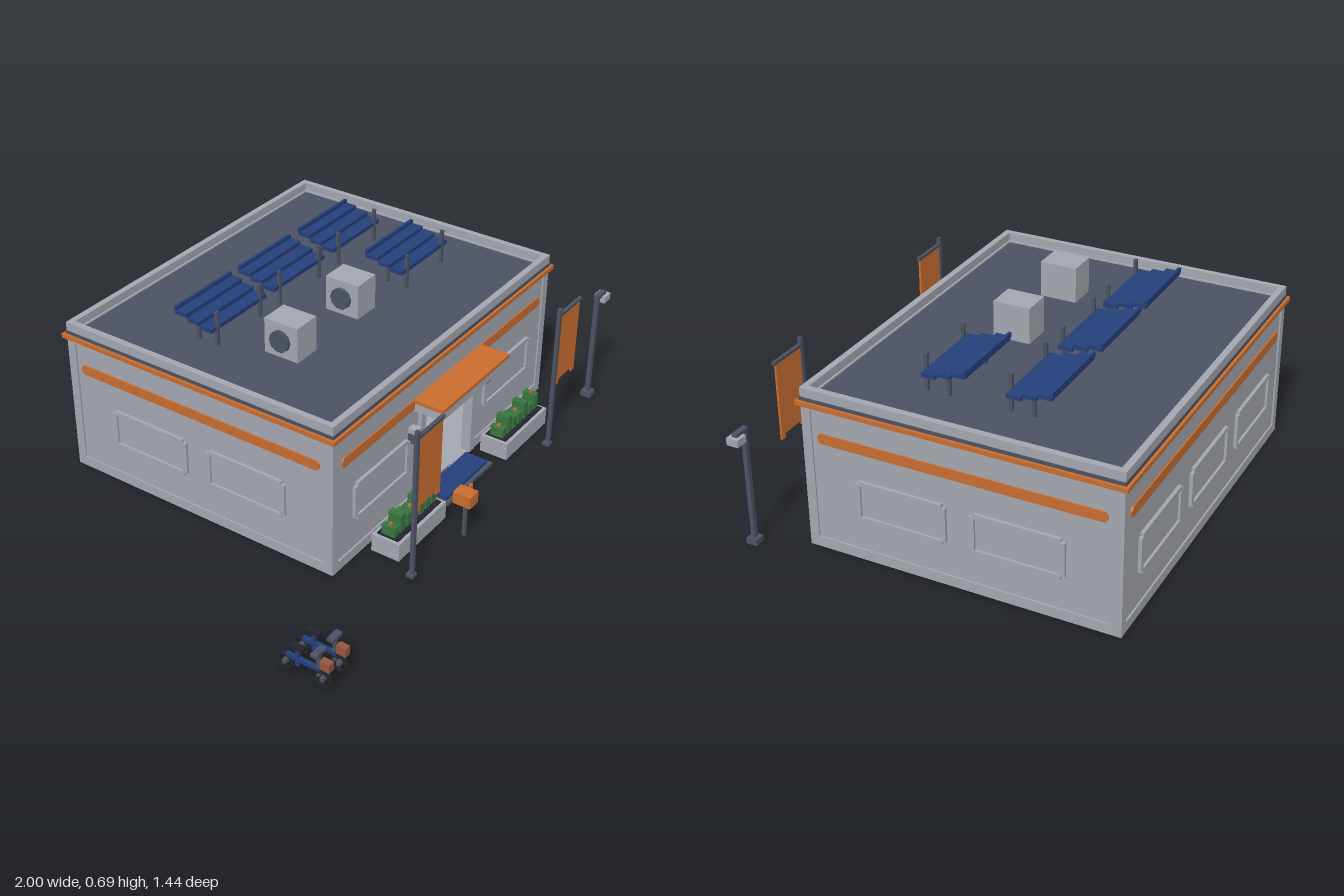
import * as THREE from 'three';

const mat = (name, color) => {
  const m = new THREE.MeshStandardMaterial({ color });
  m.name = name;
  return m;
};

export function createModel() {
  const wall = mat('pale grey', 0xa4a7b0), orange = mat('orange', 0xc96d30), slate = mat('slate', 0x4b5262);
  const dark = mat('near black', 0x23242d), blue = mat('navy blue', 0x253f7a), green = mat('green', 0x38743f);
  const brown = mat('rust brown', 0x96573f);
  const root = new THREE.Group();
  const CX = 0.162, CZ = -0.15, HX = 0.697, HZ = 0.56;

  const group = (name, parent = root, x = 0, y = 0, z = 0) => {
    const g = new THREE.Group();
    g.name = name;
    g.position.set(x, y, z);
    parent.add(g);
    return g;
  };
  const mesh = (name, m, geo, parent, x = 0, y = 0, z = 0) => {
    const o = new THREE.Mesh(geo, m);
    o.name = name;
    o.position.set(x, y, z);
    parent.add(o);
    return o;
  };
  // Box given by its limits on each axis
  const box = (name, m, x0, x1, y0, y1, z0, z1, parent = root) =>
    mesh(name, m, new THREE.BoxGeometry(x1 - x0, y1 - y0, z1 - z0), parent, (x0 + x1) / 2, (y0 + y1) / 2, (z0 + z1) / 2);
  // Rectangular ring lying flat, from outer half sizes and a width
  const ring = (name, m, hx, hz, w, y0, y1) => {
    const g = group(name, root, CX, 0, CZ);
    for (const s of [-1, 1]) {
      const a = s * hx, b = s * (hx - w), c = s * hz, d = s * (hz - w);
      box(name + 'Side', m, Math.min(a, b), Math.max(a, b), y0, y1, -hz, hz, g);
      box(name + 'End', m, w - hx, hx - w, y0, y1, Math.min(c, d), Math.max(c, d), g);
    }
  };

  // Wall stripe with clipped corners
  const stripe = (half, parent) => {
    const s = new THREE.Shape(), c = 0.01, y0 = 0.4, y1 = 0.437;
    [[-half, y0 + c], [c - half, y0], [half - c, y0], [half, y0 + c], [half, y1 - c], [half - c, y1], [c - half, y1], [-half, y1 - c]]
      .forEach(([x, y], i) => (i ? s.lineTo(x, y) : s.moveTo(x, y)));
    mesh('stripe', orange, new THREE.ExtrudeGeometry(s, { depth: 0.006, bevelEnabled: false }), parent, 0, 0, -0.007);
  };
  // One facade: x along the wall, z = 0 at the outermost face
  const facade = (name, half, dist, turn, windows, door) => {
    const g = group(name, root, CX + Math.sin(turn) * dist, 0, CZ + Math.cos(turn) * dist);
    g.rotation.y = turn;
    const e = half - 0.008;
    if (door) {
      box('wallLeftOfDoor', wall, -e, -0.155, 0.01, 0.56, -0.03, -0.006, g);
      box('wallRightOfDoor', wall, 0.165, e, 0.01, 0.56, -0.03, -0.006, g);
      box('wallOverDoor', wall, -0.155, 0.165, 0.365, 0.56, -0.03, -0.006, g);
      box('plinthA', wall, -half, -0.185, 0.01, 0.04, -0.02, 0, g);
      box('plinthB', wall, 0.195, half, 0.01, 0.04, -0.02, 0, g);
    } else {
      box('wallPanel', wall, -e, e, 0.01, 0.56, -0.03, -0.006, g);
      box('plinth', wall, -half, half, 0.01, 0.04, -0.02, 0, g);
    }
    box('topBand', wall, -half, half, 0.515, 0.53, -0.02, 0, g);
    for (const s of [-1, 1]) box('pilaster', wall, s * (half - 0.017) - 0.017, s * (half - 0.017) + 0.017, 0.01, 0.53, -0.02, 0, g);
    stripe(half - 0.055, g);
    for (const x of windows) {
      const w = group('window', g, x, 0.228, -0.006);
      for (const s of [-1, 1]) {
        box('frameRail', wall, -0.15, 0.15, s * 0.066 - 0.008, s * 0.066 + 0.008, -0.004, 0.012, w);
        box('frameStile', wall, s * 0.155 - 0.009, s * 0.155 + 0.009, -0.062, 0.062, -0.004, 0.012, w);
      }
      box('pane', wall, -0.147, 0.147, -0.058, 0.058, -0.002, 0.003, w);
    }
  };
  facade('frontWall', HX, HZ, 0, [-0.412, 0.415], true);
  facade('rightWall', HZ, HX, Math.PI / 2, [-0.206, 0.206], false);
  facade('backWall', HX, HZ, Math.PI, [-0.41, 0, 0.41], false);
  facade('leftWall', HZ, HX, -Math.PI / 2, [-0.206, 0.206], false);

  // Floor, roof deck and edge trim
  box('floor', wall, CX - HX, CX + HX, 0.002, 0.012, CZ - HZ, CZ + HZ);
  box('roofDeck', slate, CX - 0.685, CX + 0.685, 0.535, 0.555, CZ - 0.548, CZ + 0.548);
  ring('orangeTrim', orange, HX + 0.013, HZ + 0.013, 0.03, 0.53, 0.546);
  ring('darkTrim', slate, HX + 0.003, HZ + 0.003, 0.02, 0.546, 0.558);
  ring('parapet', wall, HX, HZ, 0.023, 0.552, 0.59);

  // Doorway, canopy and step
  for (const x of [-0.022, 0.325]) box('doorPost', wall, x, x + 0.03, 0.01, 0.385, 0.38, 0.418);
  box('doorLintel', wall, -0.022, 0.355, 0.36, 0.385, 0.38, 0.418);
  box('canopyBody', wall, -0.055, 0.38, 0.392, 0.424, 0.4, 0.518);
  box('canopyTop', orange, -0.058, 0.383, 0.424, 0.438, 0.4, 0.522);
  box('step', slate, 0.01, 0.315, 0, 0.012, 0.4, 0.52);
  box('doorMat', blue, 0.025, 0.3, 0.012, 0.024, 0.415, 0.505);
  for (const x of [-0.072, 0.402]) {
    box('wallLamp', slate, x - 0.013, x + 0.013, 0.28, 0.32, 0.405, 0.438);
    box('wallLampCap', wall, x - 0.015, x + 0.015, 0.32, 0.34, 0.405, 0.44);
  }

  // Interior seen through the doorway
  const room = group('interior');
  box('counter', wall, -0.03, 0.42, 0, 0.155, -0.66, -0.54, room);
  box('screen', dark, 0.05, 0.118, 0.208, 0.232, -0.62, -0.6, room);
  box('screenStand', dark, 0.078, 0.09, 0.155, 0.21, -0.615, -0.605, room);
  box('counterPlant', green, 0.23, 0.255, 0.175, 0.205, -0.6, -0.575, room);
  box('plantPot', brown, 0.225, 0.295, 0.155, 0.178, -0.605, -0.57, room);
  mesh('garland', orange, new THREE.TorusGeometry(0.095, 0.013, 4, 10, Math.PI), room, 0.165, 0.36, -0.672).rotation.z = Math.PI;
  mesh('emblemRing', orange, new THREE.TorusGeometry(0.024, 0.008, 4, 8), room, 0.168, 0.105, -0.538);
  for (let i = 0; i < 4; i++) {
    const a = i * Math.PI / 2, x = 0.168 + 0.036 * Math.cos(a), y = 0.105 + 0.036 * Math.sin(a);
    box('emblemTip', orange, x - 0.007, x + 0.007, y - 0.007, y + 0.007, -0.545, -0.535, room);
  }
  box('rugA', blue, 0.52, 0.78, 0, 0.016, -0.2, 0.02, room);
  box('rugB', blue, 0.05, 0.38, 0, 0.016, -0.33, -0.14, room);
  for (const [x, z] of [[-0.23, -0.35], [-0.36, -0.52], [-0.2, 0], [-0.4, -0.1]])
    box('stool', wall, x - 0.04, x + 0.04, 0, 0.08, z - 0.04, z + 0.04, room);
  for (const [x, z] of [[-0.4, -0.65], [0.81, 0.24]]) box('crate', orange, x - 0.03, x + 0.03, 0, 0.06, z - 0.03, z + 0.03, room);

  // Slatted blue panels on the roof
  for (const [x, z] of [[-0.192, -0.3], [0.158, -0.3], [0.518, -0.3], [0.518, 0]]) {
    const p = group('roofPanel', root, x, 0, z);
    for (let i = 0; i < 3; i++)
      box('slat', blue, -0.152, 0.152, 0.617 + i * 0.013, 0.632 + i * 0.013, 0.027 - i * 0.053, 0.078 - i * 0.053, p);
    box('backLip', blue, -0.152, 0.152, 0.655, 0.672, -0.083, -0.072, p);
    for (const s of [-1, 1]) {
      box('tallPost', slate, s * 0.118 - 0.006, s * 0.118 + 0.006, 0.55, 0.686, 0.07, 0.082, p);
      box('shortPost', slate, s * 0.118 - 0.006, s * 0.118 + 0.006, 0.55, 0.632, -0.01, 0.002, p);
    }
  }
  // Roof cooling units with side fans
  for (const x of [-0.195, 0.16]) {
    const u = group('coolingUnit', root, x, 0, -0.003);
    box('unitBody', wall, -0.054, 0.054, 0.55, 0.686, -0.068, 0.068, u);
    mesh('fan', slate, new THREE.CylinderGeometry(0.04, 0.04, 0.016, 10), u, -0.06, 0.62, 0).rotation.z = Math.PI / 2;
  }

  // Planters with clipped shrubs and small blooms
  for (const x of [-0.197, 0.518]) {
    const p = group('planter', root, x, 0, 0.49);
    box('trough', wall, -0.148, 0.148, 0, 0.068, -0.055, 0.055, p);
    box('soil', dark, -0.135, 0.135, 0.066, 0.073, -0.042, 0.042, p);
    [0.11, 0.14, 0.122, 0.115, 0.14, 0.11, 0.135].forEach((h, i) => {
      const sx = -0.117 + i * 0.039;
      box('shrub', green, sx - 0.013, sx + 0.013, 0.07, h, -0.027, 0.025, p);
      if (i % 3 === 0) box('bloom', orange, sx - 0.005, sx + 0.005, h, h + 0.011, -0.004, 0.006, p);
    });
  }

  // Banner poles
  for (const x of [-0.38, 0.548]) {
    const b = group('banner', root, x, 0, 0.62);
    box('pole', slate, -0.007, 0.007, 0, 0.575, -0.007, 0.007, b);
    box('poleBase', slate, -0.016, 0.012, 0, 0.012, -0.016, 0.012, b);
    box('arm', slate, 0, 0.157, 0.542, 0.554, -0.006, 0.006, b);
    box('cloth', orange, 0.01, 0.148, 0.282, 0.542, -0.004, 0.004, b);
    for (const [x0, x1] of [[0.01, 0.03], [0.128, 0.148]]) box('clothTail', orange, x0, x1, 0.255, 0.282, -0.004, 0.004, b);
    box('clothHem', orange, 0.03, 0.128, 0.272, 0.282, -0.004, 0.004, b);
  }

  // Street lamp
  const lamp = group('streetLamp', root, 0.935, 0, 0.582);
  box('lampBase', slate, -0.02, 0.02, 0, 0.022, -0.02, 0.02, lamp);
  box('lampPole', slate, -0.008, 0.008, 0.02, 0.435, -0.008, 0.008, lamp);
  box('lampArm', slate, -0.01, 0.05, 0.425, 0.44, -0.01, 0.01, lamp);
  box('lampHead', wall, 0.02, 0.065, 0.402, 0.428, -0.022, 0.022, lamp);

  // Letter box on a post
  box('letterPost', slate, -0.1, -0.088, 0, 0.14, 0.64, 0.652);
  box('letterBox', orange, -0.125, -0.072, 0.14, 0.185, 0.612, 0.68);
  box('letterFlag', orange, -0.072, -0.058, 0.165, 0.195, 0.64, 0.65);

  // Parked bicycles
  for (const x of [-0.975, -0.89]) {
    const b = group('bicycle', root, x, 0, 0);
    for (const z of [0.545, 0.685]) {
      mesh('wheel', dark, new THREE.TorusGeometry(0.028, 0.009, 4, 8), b, 0, 0.037, z).rotation.y = Math.PI / 2;
      box('hub', slate, -0.01, 0.01, 0.03, 0.044, z - 0.007, z + 0.007, b);
    }
    box('frame', blue, -0.007, 0.007, 0.06, 0.074, 0.55, 0.675, b);
    box('seatPost', blue, -0.006, 0.006, 0.04, 0.108, 0.585, 0.597, b);
    box('saddle', dark, -0.011, 0.011, 0.108, 0.118, 0.565, 0.615, b);
    box('fork', slate, -0.006, 0.006, 0.04, 0.13, 0.662, 0.674, b);
    box('handlebar', slate, -0.025, 0.025, 0.126, 0.138, 0.655, 0.678, b);
    box('basket', brown, -0.012, 0.012, 0.08, 0.112, 0.68, 0.715, b);
  }
  return root;
}
